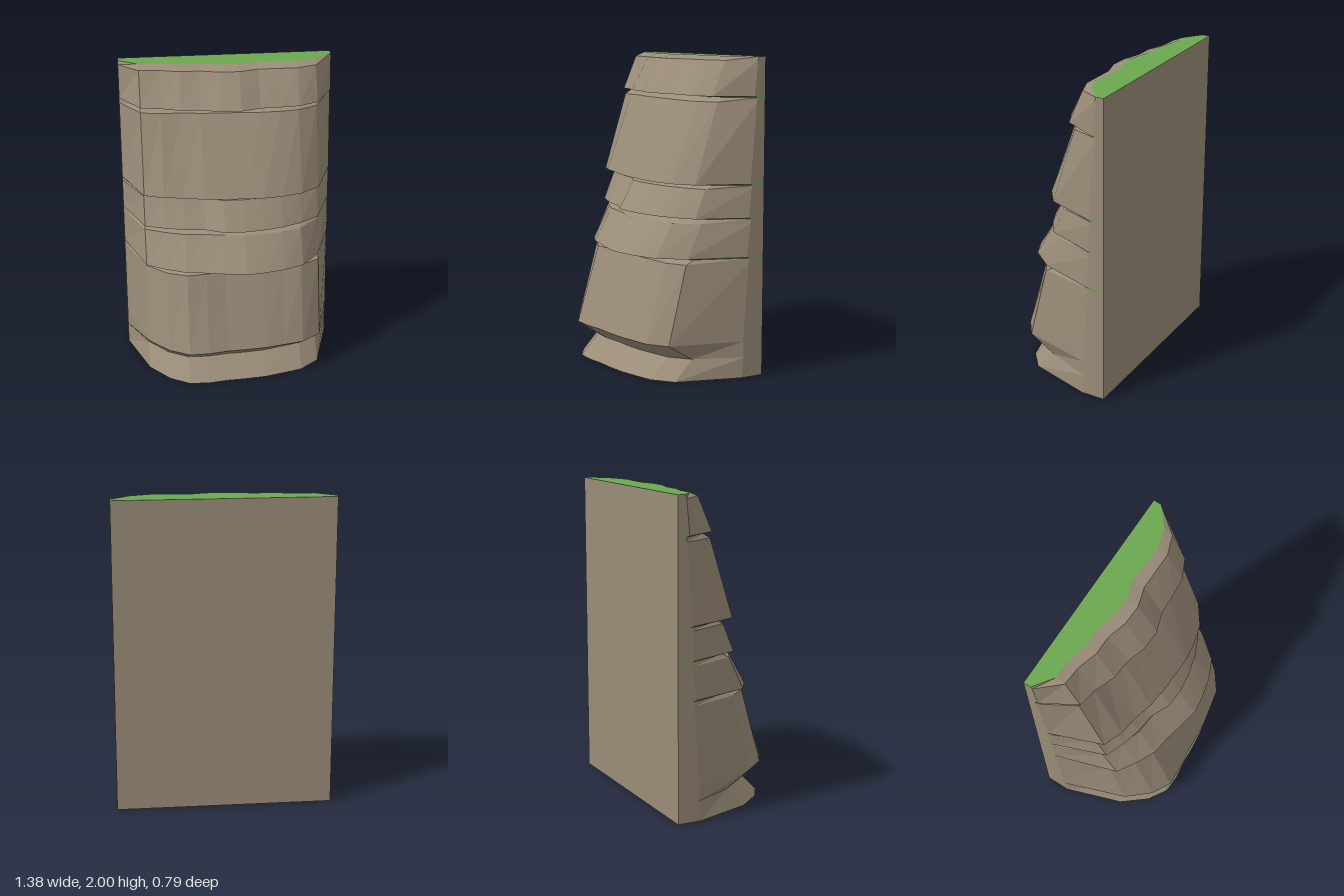
import * as THREE from 'three';

// Twelve even columns across the cliff face; the outer two are the side edges
const HALF = 0.565, SIDE = 0.69, BACK = -0.396;
const COLUMNS = Array.from({ length: 10 }, (_, i) => HALF * (i / 4.5 - 1));

// Rock layers, bottom to top: the outline of the overhanging lip,
// then rings of [height, setback from the lip, taper of the setback to the sides]
const base = {
  name: 'baseLayer',
  lip: [0.175, 0.32, 0.39, 0.39, 0.37, 0.365, 0.355, 0.33, 0.305, 0.215],
  rings: [[0, 0.015, -2], [0.13, 0.14, -0.2], [0.233, 0], [0.73, 0.17], [0.758, 0.25]],
};
const lowerLedge = {
  name: 'lowerLedge',
  lip: [0.12, 0.2, 0.26, 0.28, 0.31, 0.335, 0.32, 0.29, 0.235, 0.085],
  rings: [[0.765, 0], [0.975, 0.14], [1.003, 0.21]],
};
const middleLedge = {
  name: 'middleLedge',
  lip: [0.05, 0.1, 0.135, 0.15, 0.21, 0.215, 0.2, 0.17, 0.115, 0.03],
  rings: [[1.01, 0], [1.19, 0.105], [1.212, 0.165]],
};
const tallLayer = {
  name: 'tallLayer',
  lip: [0.04, 0.09, 0.11, 0.145, 0.16, 0.165, 0.17, 0.155, 0.12, 0.03],
  rings: [[1.22, 0], [1.722, 0.22], [1.75, 0.285]],
};
const topLedge = {
  name: 'topLedge',
  lip: [-0.105, -0.08, -0.03, -0.02, 0.02, 0.025, -0.015, -0.02, -0.03, -0.09],
  rings: [[1.758, 0], [1.975, 0.132], [2, 0.21]],
};

// Ring points from the back left corner round the front to the back right
function ringPoints(lip, [y, setback, taper = 0.28]) {
  const edge = -0.24 - 0.045 * y - 0.08 * setback;
  const front = COLUMNS.map((x, i) => [x, y, lip[i] - setback * (1 - taper * (x / HALF) ** 2)]);
  return [[-SIDE, y, BACK], [-SIDE, y, edge], ...front, [SIDE, y, edge], [SIDE, y, BACK]];
}

function facetedGeometry(positions) {
  const geometry = new THREE.BufferGeometry();
  geometry.setAttribute('position', new THREE.Float32BufferAttribute(positions.flat(), 3));
  geometry.computeVertexNormals();
  return geometry;
}

// Wall joining a stack of rings
function wallGeometry(rings) {
  const p = [];
  for (let r = 0; r + 1 < rings.length; r++) {
    const a = rings[r], b = rings[r + 1];
    for (let i = 0; i + 1 < a.length; i++) p.push(a[i], a[i + 1], b[i + 1], a[i], b[i + 1], b[i]);
  }
  return facetedGeometry(p);
}

// Flat cap filling one ring back to the rear plane
function capGeometry(ring, up) {
  const p = [];
  for (let i = 1; i + 2 < ring.length; i++) {
    const a = ring[i], b = ring[i + 1];
    const c = [b[0], b[1], BACK], d = [a[0], a[1], BACK];
    p.push(...(up ? [a, b, c, a, c, d] : [a, c, b, a, d, c]));
  }
  return facetedGeometry(p);
}

export function createModel() {
  const group = new THREE.Group();
  const rock = new THREE.MeshStandardMaterial({ color: 0x9a8c78 });
  rock.name = 'rock';
  const grass = new THREE.MeshStandardMaterial({ color: 0x6aa84f });
  grass.name = 'grass';
  const add = (name, geometry, material) => {
    const mesh = new THREE.Mesh(geometry, material);
    mesh.name = name;
    group.add(mesh);
  };

  // Rock layers, with green undersides where each overhangs the one below
  let below = null;
  for (const { name, lip, rings } of [base, lowerLedge, middleLedge, tallLayer, topLedge]) {
    const loops = rings.map((ring) => ringPoints(lip, ring));
    add(name, wallGeometry(loops), rock);
    if (below) add(name + 'Underside', wallGeometry([below, loops[0]]), grass);
    else add('bottom', capGeometry(loops[0], false), rock);
    below = loops.at(-1);
  }

  // Grass top and flat back
  add('grassTop', capGeometry(below, true), grass);
  add('back', new THREE.PlaneGeometry(2 * SIDE, 2).rotateY(Math.PI).translate(0, 1, BACK), rock);
  return group;
}
